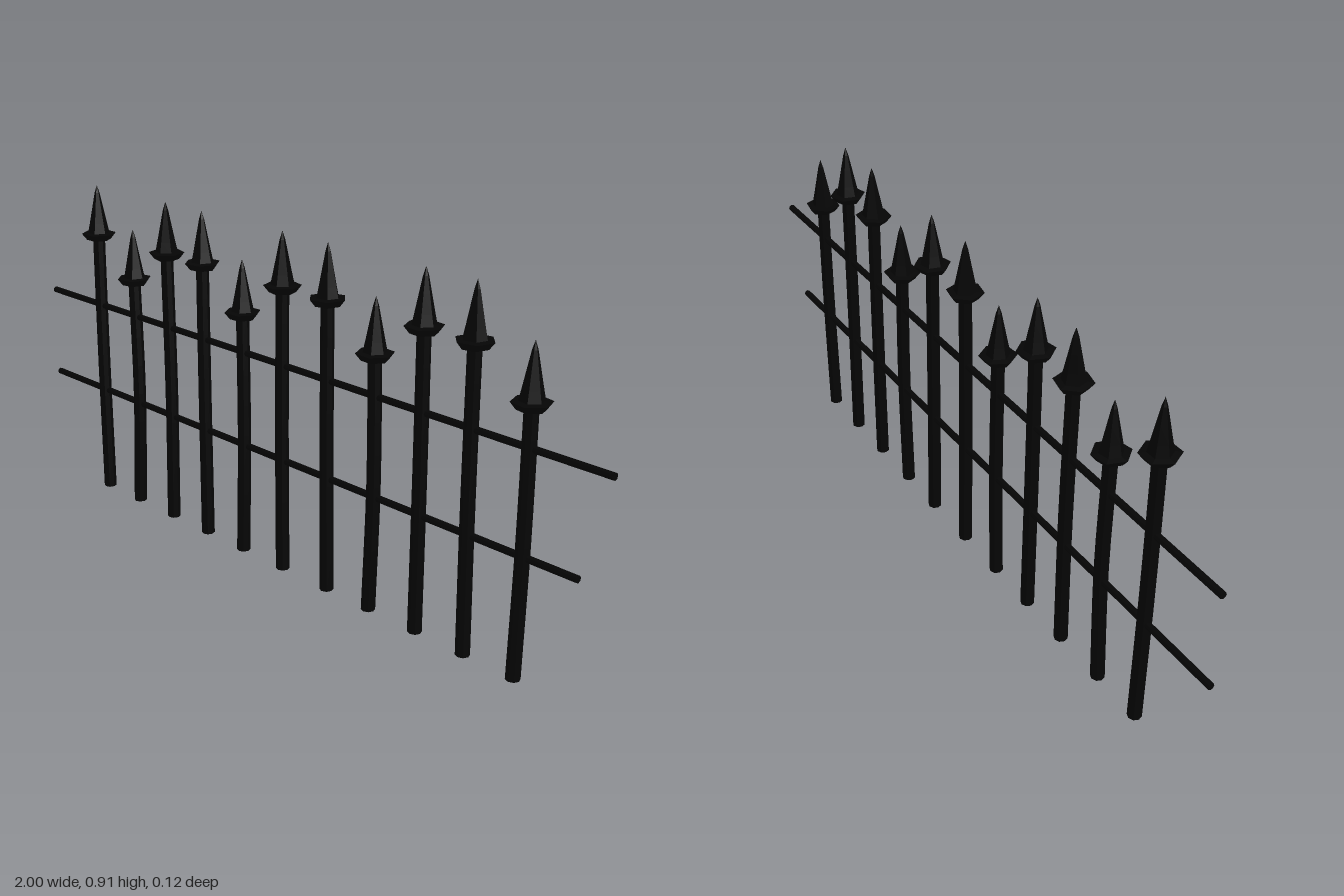
import * as THREE from 'three';

const iron = new THREE.MeshStandardMaterial({ color: 0x050505, flatShading: true });

// Each post: x at the base, the middle and the head, and whether it is short
const POSTS = [
  [-0.76, -0.767, -0.768, 0], [-0.611, -0.6, -0.608, 1], [-0.454, -0.452, -0.459, 0],
  [-0.302, -0.307, -0.309, 0], [-0.152, -0.147, -0.151, 1], [0.004, -0.001, 0, 0],
  [0.169, 0.162, 0.159, 0], [0.318, 0.325, 0.319, 1], [0.474, 0.472, 0.469, 0],
  [0.626, 0.619, 0.617, 0], [0.776, 0.78, 0.779, 1],
];

// The fence line runs slightly askew
const lineZ = (x) => 0.018 * x;

function part(name, geometry) {
  const mesh = new THREE.Mesh(geometry, iron);
  mesh.name = name;
  return mesh;
}

// Slightly crooked bar: a cylinder whose rings follow a curve
function shaft(curve, height) {
  const g = new THREE.CylinderGeometry(0.017, 0.018, height, 8, 8);
  g.translate(0, height / 2, 0);
  const pos = g.attributes.position;
  for (let i = 0; i < pos.count; i++) {
    const p = curve.getPoint(THREE.MathUtils.clamp(pos.getY(i) / height, 0, 1));
    pos.setX(i, pos.getX(i) + p.x);
    pos.setZ(i, pos.getZ(i) + p.z);
  }
  return g;
}

// Six-sided spear tip above a flared collar, with its origin at the collar rim
function spearHead() {
  const profile = [
    [0, -0.018], [0.034, -0.018], [0.048, 0], [0.03, 0.002],
    [0.024, 0.03], [0.015, 0.075], [0.007, 0.115], [0, 0.137],
  ].map(([r, y]) => new THREE.Vector2(r, y));
  return new THREE.LatheGeometry(profile, 6);
}

// Straight rail between two points
function rail(x0, y0, x1, y1) {
  const a = new THREE.Vector3(x0, y0, lineZ(x0));
  const b = new THREE.Vector3(x1, y1, lineZ(x1));
  const mesh = part('rail', new THREE.CylinderGeometry(0.009, 0.009, a.distanceTo(b), 8));
  mesh.position.copy(a).lerp(b, 0.5);
  mesh.quaternion.setFromUnitVectors(new THREE.Vector3(0, 1, 0), b.sub(a).normalize());
  return mesh;
}

export function createModel() {
  const fence = new THREE.Group();
  fence.name = 'fence';

  const headGeometry = spearHead();
  POSTS.forEach(([base, middle, top, short], i) => {
    const rim = short ? 0.672 : 0.772;
    const z = lineZ(top);
    const post = new THREE.Group();
    post.name = 'post';

    const curve = new THREE.CatmullRomCurve3([
      new THREE.Vector3(base, 0, z + 0.003),
      new THREE.Vector3(middle, rim / 2, z + 0.001),
      new THREE.Vector3(top, rim, z),
    ]);
    post.add(part('shaft', shaft(curve, rim)));

    const head = part('spearHead', headGeometry);
    head.position.set(top, rim, z);
    head.rotation.y = Math.PI / 6 + 0.25 * Math.sin(i * 2.3);
    post.add(head);
    fence.add(post);
  });

  fence.add(rail(-1, 0.56, 1, 0.567), rail(-1, 0.303, 0.93, 0.308));
  return fence;
}
